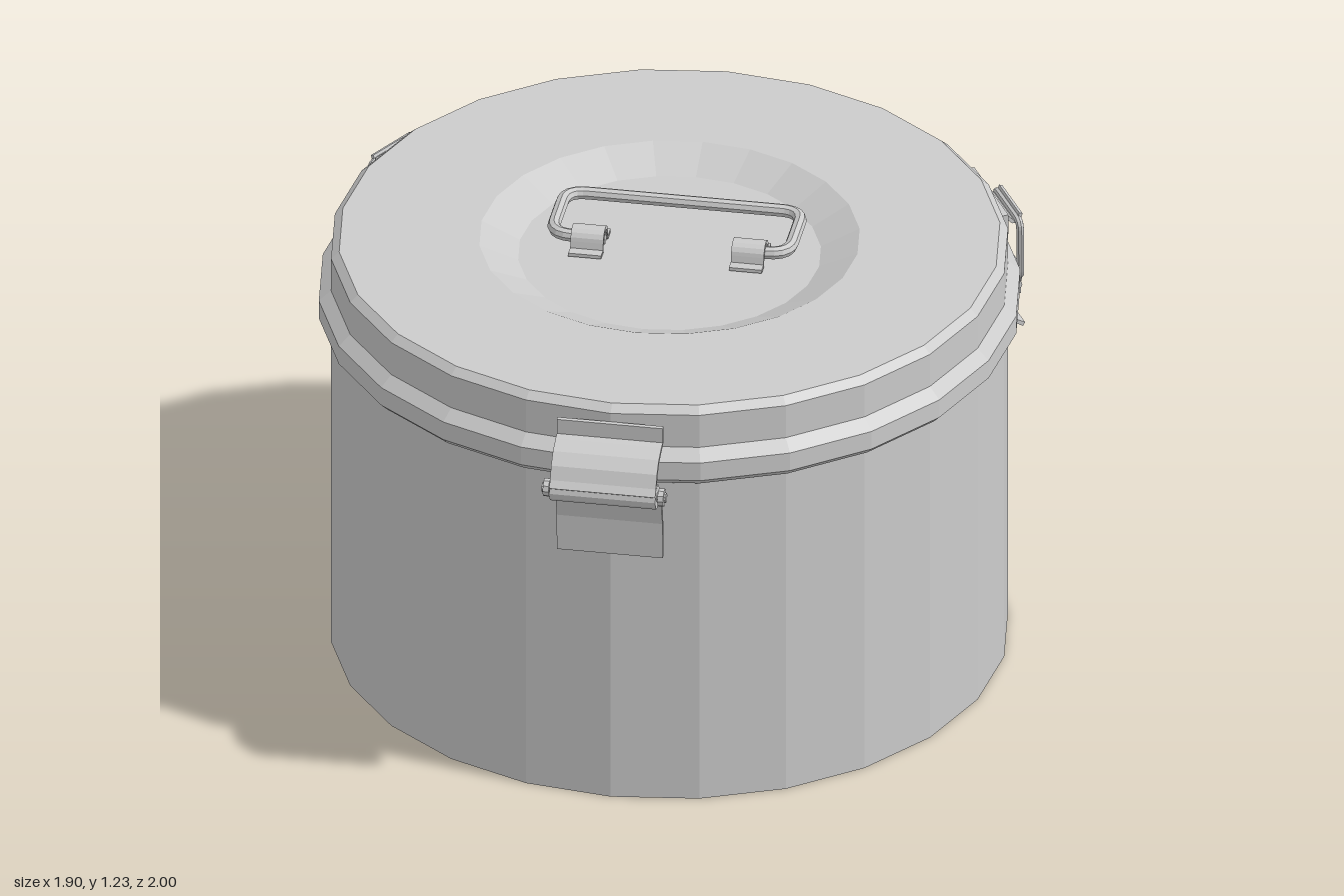
import * as THREE from 'three';

const CZ = -0.05; // pot axis sits slightly behind the centre
const SIDES = 24;
const mat = new THREE.MeshStandardMaterial({ color: 0xcccccc, flatShading: true, side: THREE.DoubleSide });

function add(parent, name, geo, x = 0, y = 0, z = 0) {
  const m = new THREE.Mesh(geo, mat);
  m.name = name;
  m.position.set(x, y, z);
  parent.add(m);
  return m;
}

const lathe = pts => new THREE.LatheGeometry(pts.map(p => new THREE.Vector2(...p)), SIDES);

// Bent sheet metal: a (z, y) polyline thickened by t and swept across width w
function sheet(pts, w, t) {
  const p = pts.map(a => new THREE.Vector2(...a));
  const off = p.map((v, i) => {
    const d = p[Math.min(i + 1, p.length - 1)].clone().sub(p[Math.max(i - 1, 0)]).normalize();
    return new THREE.Vector2(v.x - d.y * t, v.y + d.x * t);
  });
  const geo = new THREE.ExtrudeGeometry(new THREE.Shape([...p, ...off.reverse()]), { depth: w, bevelEnabled: false });
  geo.rotateY(-Math.PI / 2);
  geo.translate(w / 2, 0, 0);
  return geo;
}

// Round wire through 3D points with rounded corners
function wire(pts, r, corner, closed = false) {
  const v = pts.map(p => new THREE.Vector3(...p));
  const path = new THREE.CurvePath();
  const n = v.length;
  const toward = (a, b) => a.clone().add(b.clone().sub(a).setLength(corner));
  let last = closed ? toward(v[0], v[1]) : v[0];
  for (let i = 1; i < (closed ? n + 1 : n - 1); i++) {
    const c = v[i % n], a = toward(c, v[i - 1]), b = toward(c, v[(i + 1) % n]);
    path.add(new THREE.LineCurve3(last, a));
    path.add(new THREE.QuadraticBezierCurve3(a, c, b));
    last = b;
  }
  if (!closed) path.add(new THREE.LineCurve3(last, v[n - 1]));
  return new THREE.TubeGeometry(path, 72, r, 8, closed);
}

const bar = (r, len, sides = 10) => new THREE.CylinderGeometry(r, r, len, sides).rotateZ(Math.PI / 2);

// Over-centre latch; local z points outward from the pot axis
function makeLatch() {
  const g = new THREE.Group();
  add(g, 'latchPlate', new THREE.BoxGeometry(0.27, 0.06, 0.025), 0, 1.148, 0.912);
  // Hook that catches the wire bail
  add(g, 'latchHook', sheet([[0.92, 1.155], [0.935, 1.135], [0.955, 1.115], [0.975, 1.115], [0.985, 1.14]], 0.16, 0.01));
  add(g, 'latchBail', wire([
    [-0.095, 1.125, 0.972], [0.095, 1.125, 0.972], [0.062, 0.93, 0.985], [-0.062, 0.93, 0.985],
  ], 0.011, 0.025, true));
  // Lever with a kicked-out lip
  add(g, 'latchLever', sheet([
    [0.968, 0.965], [0.985, 0.95], [0.98, 0.92], [0.963, 0.88], [0.956, 0.83], [0.966, 0.79], [0.995, 0.772],
  ], 0.11, 0.012));
  add(g, 'latchPivot', bar(0.014, 0.15), 0, 0.915, 0.972);
  add(g, 'latchBase', new THREE.BoxGeometry(0.1, 0.13, 0.02), 0, 0.89, 0.922);
  for (const s of [-1, 1]) {
    add(g, 'latchBracket', new THREE.BoxGeometry(0.01, 0.07, 0.065), s * 0.06, 0.918, 0.953);
  }
  return g;
}

// Hinge with two leaves and a pin; local z points outward
function makeHinge() {
  const g = new THREE.Group(), w = 0.29;
  add(g, 'hingeUpperLeaf', sheet([
    [0.918, 1.175], [0.918, 1.125], [0.945, 1.115], [0.985, 1.1], [1.01, 1.075], [1.025, 1.04], [1.04, 1.02],
  ], w, 0.013));
  add(g, 'hingeLowerLeaf', sheet([
    [1.0, 1.0], [0.965, 0.995], [0.942, 0.975], [0.932, 0.93], [0.922, 0.88], [0.918, 0.77],
  ], w, 0.013));
  add(g, 'hingeBarrel', bar(0.034, w, 12), 0, 1.01, 1.015);
  add(g, 'hingePin', bar(0.014, 0.34), 0, 1.01, 1.015);
  for (const s of [-1, 1]) add(g, 'hingePinHead', bar(0.025, 0.016), s * 0.157, 1.01, 1.015);
  return g;
}

// Folded-down carrying handle and its two clips
function makeHandle() {
  const g = new THREE.Group(), y = 1.2, z = 0.002;
  add(g, 'handleWire', wire([
    [-0.175, y, z], [-0.325, y, z], [-0.325, y - 0.005, -0.235],
    [0.325, y - 0.005, -0.235], [0.325, y, z], [0.175, y, z],
  ], 0.018, 0.06));
  for (const s of [-1, 1]) {
    const arch = [[-0.075, 1.175], [-0.036, 1.175]];
    for (let i = 0; i <= 8; i++) {
      const a = Math.PI * (1 - i / 8);
      arch.push([z + 0.026 * Math.cos(a), y + 0.024 * Math.sin(a)]);
    }
    arch.push([0.036, 1.175], [0.072, 1.175]);
    add(g, 'handleClip', sheet(arch, 0.09, 0.01), s * 0.22);
  }
  return g;
}

export function createModel() {
  const root = new THREE.Group();
  const pot = new THREE.Group();
  pot.name = 'pot';
  pot.position.z = CZ;
  root.add(pot);

  add(pot, 'body', lathe([[0, 0], [0.917, 0], [0.917, 1.01]]));
  // Lid with flared rim and dished centre
  add(pot, 'lid', lathe([
    [0.917, 0.995], [0.93, 0.995], [0.95, 1.015], [0.95, 1.07], [0.917, 1.1], [0.917, 1.2],
    [0.895, 1.22], [0.515, 1.22], [0.41, 1.17], [0, 1.17],
  ]));

  const hinge = makeHinge();
  hinge.name = 'hinge';
  const handle = makeHandle();
  handle.name = 'handle';
  pot.add(hinge, handle);

  for (const s of [-1, 1]) {
    const latch = makeLatch();
    latch.name = s > 0 ? 'leftLatch' : 'rightLatch';
    latch.rotation.y = s * Math.PI * 2 / 3;
    pot.add(latch);
  }
  return root;
}
